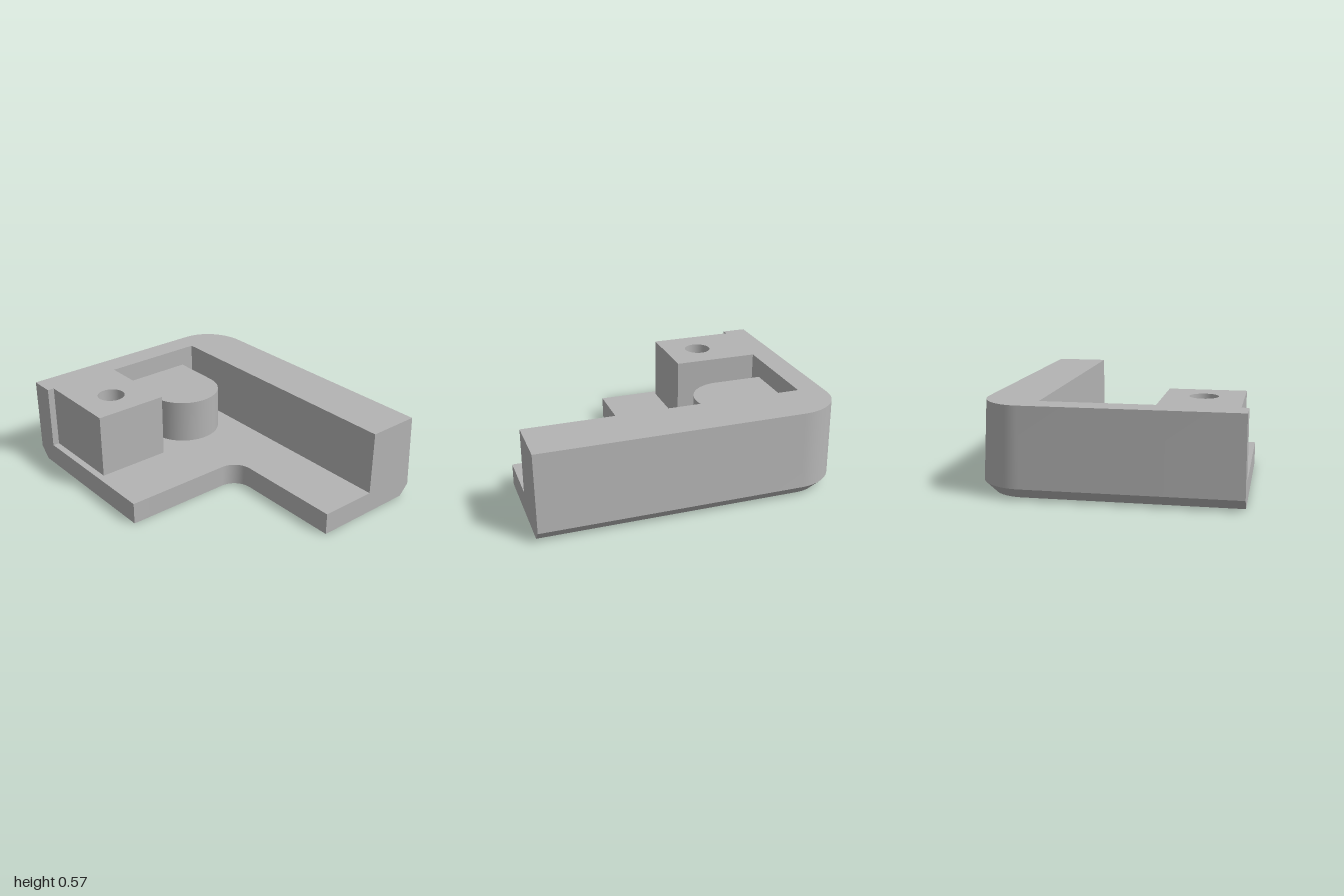
import * as THREE from 'three';
import { mergeGeometries, toCreasedNormals } from 'three/addons/utils/BufferGeometryUtils.js';

const FLOOR = 0.145, TOP = 0.57, CHAMFER = 0.07;
const LEFT = -0.81, FRONT = 1;

// Points [x, z] on an elliptical arc
function arc(cx, cz, rx, rz, from, to, n) {
  return Array.from({ length: n + 1 }, (_, i) => {
    const a = from + (to - from) * i / n;
    return [cx + rx * Math.cos(a), cz + rz * Math.sin(a)];
  });
}

// Outer edge at one level, from the front end round the corner to the left end
function outerEdge(rx, rz) {
  const cx = 0.51, cz = -0.705;
  return [[cx + rx, FRONT], ...arc(cx, cz, rx, rz, 0, -Math.PI / 2, 20), [LEFT, cz - rz]];
}

// Side surface between two paths at two heights
function strip(low, yLow, high, yHigh) {
  const pos = [];
  for (let i = 0; i < low.length - 1; i++) {
    const a = [low[i][0], yLow, low[i][1]], b = [low[i + 1][0], yLow, low[i + 1][1]];
    const c = [high[i + 1][0], yHigh, high[i + 1][1]], d = [high[i][0], yHigh, high[i][1]];
    pos.push(...a, ...b, ...c, ...a, ...c, ...d);
  }
  const g = new THREE.BufferGeometry();
  g.setAttribute('position', new THREE.Float32BufferAttribute(pos, 3));
  return g;
}

// Flat polygon facing +z
function polygon(points, hole) {
  const toVectors = list => list.map(([x, y]) => new THREE.Vector2(x, y));
  const shape = new THREE.Shape(toVectors(points));
  if (hole) shape.holes.push(new THREE.Path(toVectors(hole)));
  const g = new THREE.ShapeGeometry(shape).toNonIndexed();
  g.deleteAttribute('uv');
  g.deleteAttribute('normal');
  return g;
}

const flip = list => list.map(([x, z]) => [x, -z]);
const capUp = (points, y, hole) =>
  polygon(flip(points), hole && flip(hole)).rotateX(-Math.PI / 2).translate(0, y, 0);

function solid(parts, material, name) {
  const mesh = new THREE.Mesh(toCreasedNormals(mergeGeometries(parts), 0.5), material);
  mesh.name = name;
  return mesh;
}

export function createModel() {
  const grey = new THREE.MeshStandardMaterial({ color: 0xb4b4b4 });
  grey.name = 'grey';
  const group = new THREE.Group();
  group.name = 'cornerBracket';

  // Outer edges: underside, chamfer line and top rim
  const bottom = outerEdge(0.23, 0.22);
  const middle = outerEdge(0.295, 0.295);
  const rim = outerEdge(0.265, 0.295);

  // Inner face of the walls, stepping around the screw block
  const inner = [[LEFT, -0.835], [-0.765, -0.835], [-0.765, -0.26], [-0.275, -0.26],
    [-0.275, -0.835], [0.425, -0.835], [0.425, FRONT]];
  // Inside edge of the L-shaped base with its rounded corner
  const lip = [[LEFT, 0.15], ...arc(-0.09, 0.28, 0.13, 0.13, -Math.PI / 2, 0, 12), [0.04, FRONT]];
  // Screw hole in the block
  const hole = arc(-0.52, -0.5, 0.09, 0.09, 0, Math.PI * 2, 32);
  const holeRing = hole.slice(0, -1);

  group.add(solid([
    strip(bottom, 0, middle, CHAMFER),
    strip(middle, CHAMFER, rim, TOP),
  ], grey, 'outerShell'));

  group.add(solid([
    strip(inner, FLOOR, inner, TOP),
    capUp([...rim, ...inner], TOP, holeRing),
  ], grey, 'wallsAndScrewBlock'));

  group.add(solid([
    strip(hole, FLOOR, hole, TOP),
    capUp(holeRing, FLOOR),
  ], grey, 'screwHole'));

  group.add(solid([
    capUp([...inner, ...lip.slice().reverse()], FLOOR),
    strip(lip, 0, lip, FLOOR),
    polygon([...bottom, ...lip]).rotateX(Math.PI / 2),
  ], grey, 'basePlate'));

  // Flat cut ends of the two arms
  group.add(solid([
    polygon([[0.04, 0], [0.74, 0], [0.805, CHAMFER], [0.775, TOP], [0.425, TOP],
      [0.425, FLOOR], [0.04, FLOOR]]).translate(0, 0, FRONT),
  ], grey, 'frontEnd'));
  group.add(solid([
    polygon([[0.15, 0], [-0.925, 0], [-1, CHAMFER], [-1, TOP], [-0.835, TOP],
      [-0.835, FLOOR], [0.15, FLOOR]]).rotateY(-Math.PI / 2).translate(LEFT, 0, 0),
  ], grey, 'leftEnd'));

  // Round-nosed boss against the back wall
  const boss = [[0.335, -0.835], ...arc(0.0875, -0.5, 0.2475, 0.245, 0, Math.PI, 28), [-0.16, -0.835]];
  const bossSide = boss.slice().reverse();
  group.add(solid([
    strip(bossSide, FLOOR, bossSide, 0.44),
    capUp(boss, 0.44),
  ], grey, 'boss'));

  return group;
}
